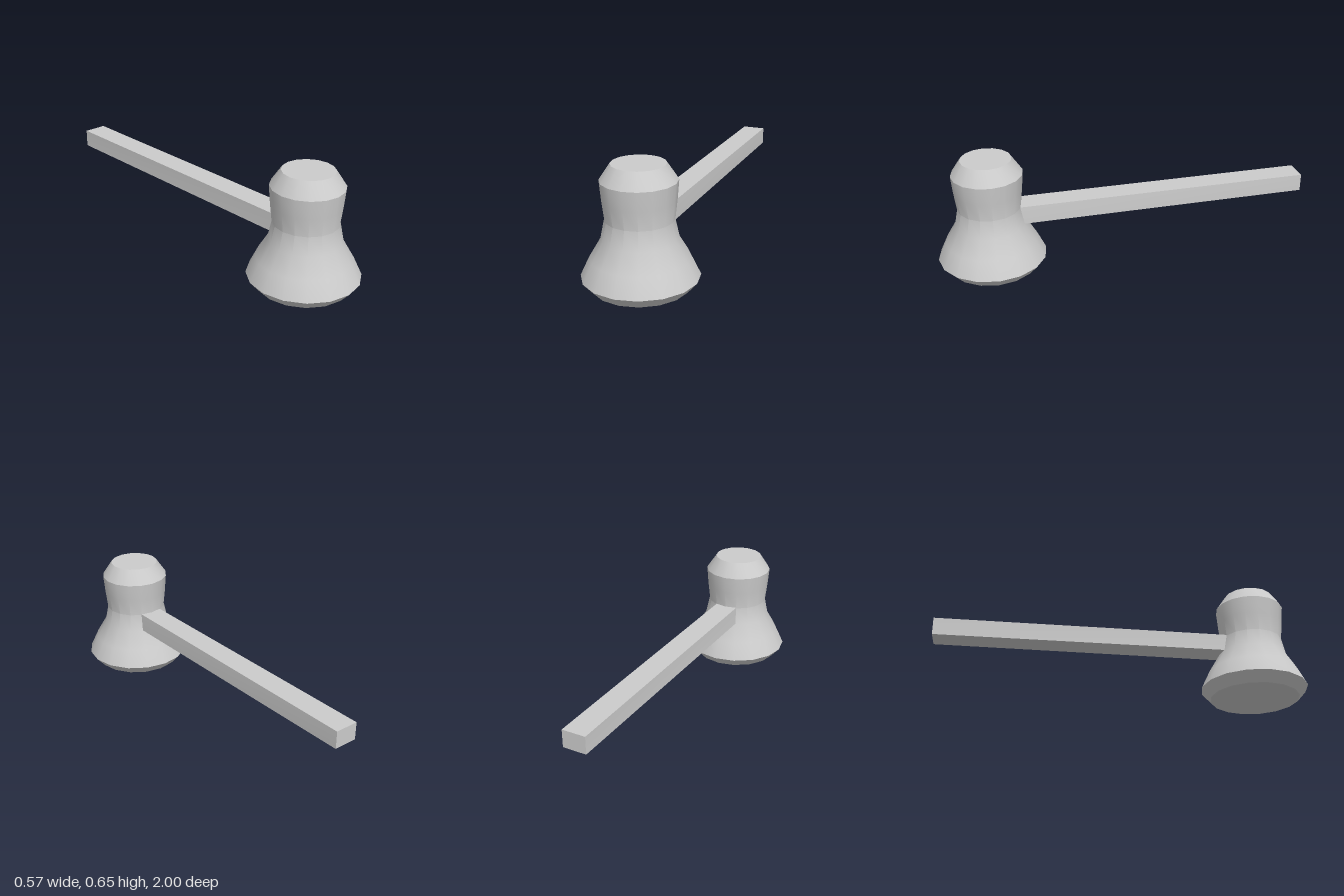
import * as THREE from 'three';
import { toCreasedNormals } from 'three/addons/utils/BufferGeometryUtils.js';

export function createModel() {
  const group = new THREE.Group();
  const material = new THREE.MeshStandardMaterial({ color: 0xcccccc });

  // Waisted head: radius and height, from the base centre to the top centre
  const profile = [
    [0, 0], [0.09, 0.002], [0.238, 0.047], [0.285, 0.1], [0.24, 0.195], [0.185, 0.288],
    [0.165, 0.383], [0.176, 0.478], [0.184, 0.573], [0.131, 0.652], [0, 0.652],
  ].map(([r, y]) => new THREE.Vector2(r, y));
  const head = new THREE.Mesh(toCreasedNormals(new THREE.LatheGeometry(profile, 16), 0.5), material);
  head.name = 'head';
  head.position.z = 0.715;
  group.add(head);

  // Straight handle running back from the waist, its underside slightly wider at the head
  const back = -1, front = 0.66;
  const bar = new THREE.BoxGeometry(0.126, 0.094, front - back);
  const p = bar.attributes.position;
  for (let i = 0; i < p.count; i++) {
    if (p.getZ(i) > 0 && p.getY(i) < 0) p.setX(i, Math.sign(p.getX(i)) * 0.07);
  }
  const handle = new THREE.Mesh(toCreasedNormals(bar, 0.5), material);
  handle.name = 'handle';
  handle.position.set(0, 0.34, (front + back) / 2);
  group.add(handle);

  return group;
}
